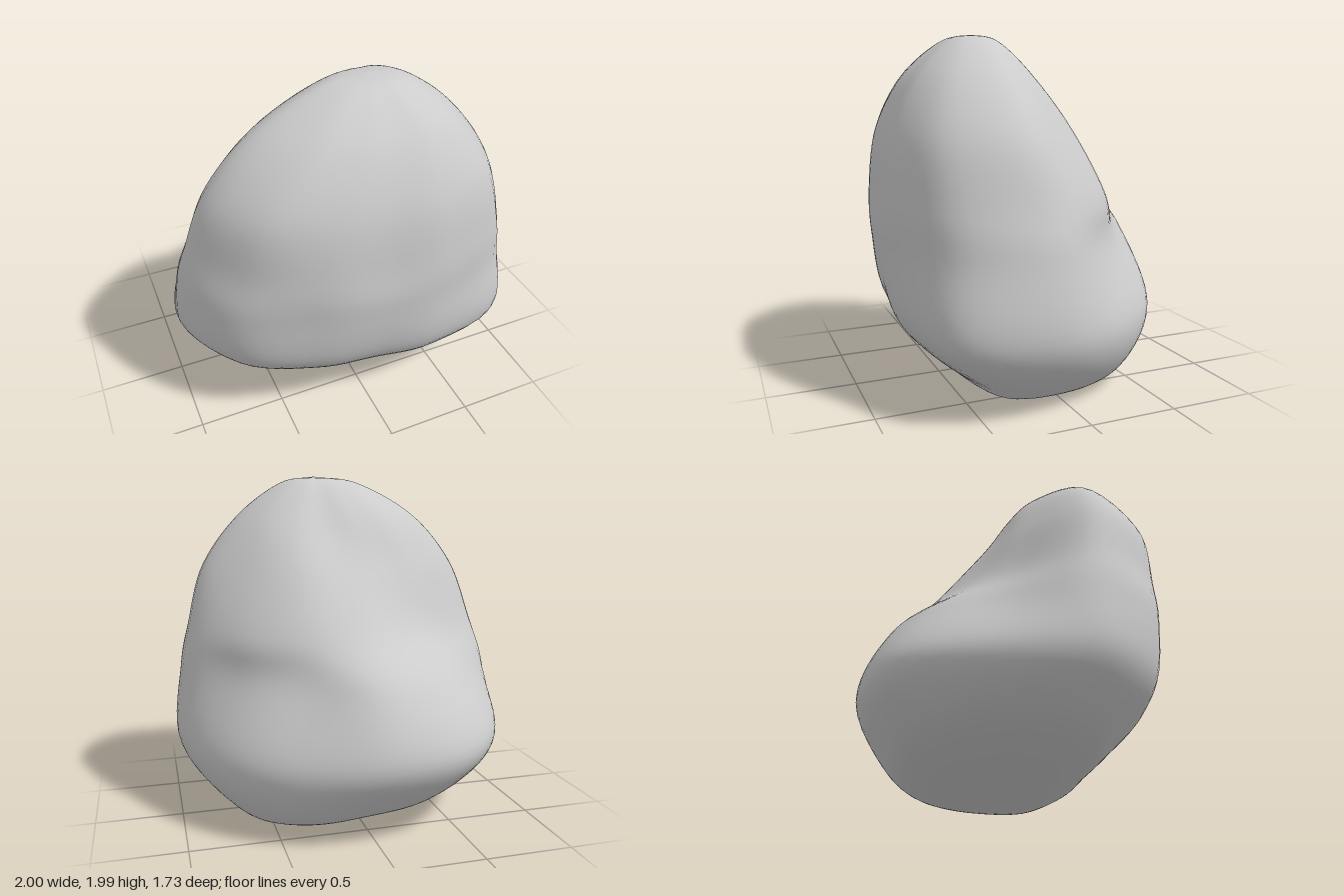
import * as THREE from 'three';

// Cross-sections from bottom to top: height, centre, and
// radii every 30 degrees from +x through +z.
const sections = [
  { y: 0.21, cx: 0.03, cz: -0.02, r: [0.72, 0.77, 0.65, 0.58, 0.66, 0.83, 0.9, 0.84, 0.76, 0.66, 0.67, 0.7] },
  { y: 0.47, cx: 0, cz: 0.15, r: [0.99, 1, 0.76, 0.64, 0.69, 0.86, 0.99, 0.99, 1.04, 1, 0.94, 0.94] },
  { y: 0.85, cx: 0, cz: 0.15, r: [0.96, 0.97, 0.8, 0.71, 0.75, 0.9, 0.97, 0.8, 0.83, 0.85, 0.74, 0.79] },
  { y: 1.1, cx: 0, cz: 0.2, r: [0.91, 0.91, 0.75, 0.65, 0.71, 0.83, 0.91, 0.65, 0.6, 0.66, 0.71, 0.79] },
  { y: 1.45, cx: 0.03, cz: 0.28, r: [0.78, 0.75, 0.61, 0.53, 0.59, 0.74, 0.83, 0.59, 0.48, 0.48, 0.58, 0.65] },
  { y: 1.75, cx: 0.11, cz: 0.32, r: [0.48, 0.46, 0.4, 0.36, 0.41, 0.54, 0.66, 0.48, 0.36, 0.31, 0.36, 0.42] },
];

const COLUMNS = 12, ROWS = 64, AROUND = 72;

// A smaller copy of a section at another height, used to round off the ends
const shrink = (s, y, k) => ({ ...s, y, r: s.r.map((v) => v * k) });

const [lowest] = sections;
const highest = sections[sections.length - 1];
const levels = [
  shrink(lowest, 0.065, 0),
  shrink(lowest, 0.08, 0.68),
  ...sections,
  shrink(highest, 1.95, 0.44),
  shrink(highest, 1.99, 0),
];

// Point of a section, with the underside tilted down towards +x
function levelPoint({ y, cx, cz, r }, k) {
  const a = (k / COLUMNS) * Math.PI * 2;
  const x = cx + r[k] * Math.cos(a);
  const tilt = 0.15 * (1 - THREE.MathUtils.smoothstep(y, 0.1, 0.75));
  return new THREE.Vector3(x, y - tilt * x, cz + r[k] * Math.sin(a));
}

const smooth = (points, closed) => new THREE.CatmullRomCurve3(points, closed, 'catmullrom', 0.5);

function boulderGeometry() {
  // Smooth up each column, then around each ring
  const columns = Array.from({ length: COLUMNS }, (_, k) =>
    smooth(levels.map((s) => levelPoint(s, k)), false).getPoints(ROWS));
  const positions = [], index = [];
  for (let i = 0; i <= ROWS; i++) {
    const ring = smooth(columns.map((c) => c[i]), true);
    for (let j = 0; j < AROUND; j++) positions.push(...ring.getPoint(j / AROUND).toArray());
  }
  for (let i = 0; i < ROWS; i++) {
    for (let j = 0; j < AROUND; j++) {
      const a = i * AROUND + j, b = i * AROUND + ((j + 1) % AROUND);
      if (i < ROWS - 1) index.push(a, a + AROUND, b + AROUND);
      if (i > 0) index.push(a, b + AROUND, b);
    }
  }
  const g = new THREE.BufferGeometry();
  g.setAttribute('position', new THREE.Float32BufferAttribute(positions, 3));
  g.setIndex(index);
  g.computeVertexNormals();

  // All vertices at a pole share one normal
  for (let j = 0; j < AROUND; j++) {
    g.attributes.normal.setXYZ(j, 0, -1, 0);
    g.attributes.normal.setXYZ(ROWS * AROUND + j, 0, 1, 0);
  }
  return g;
}

export function createModel() {
  const group = new THREE.Group();
  group.name = 'rock';
  const boulder = new THREE.Mesh(
    boulderGeometry(),
    new THREE.MeshStandardMaterial({ color: 0xcccccc }),
  );
  boulder.name = 'boulder';
  group.add(boulder);
  return group;
}
